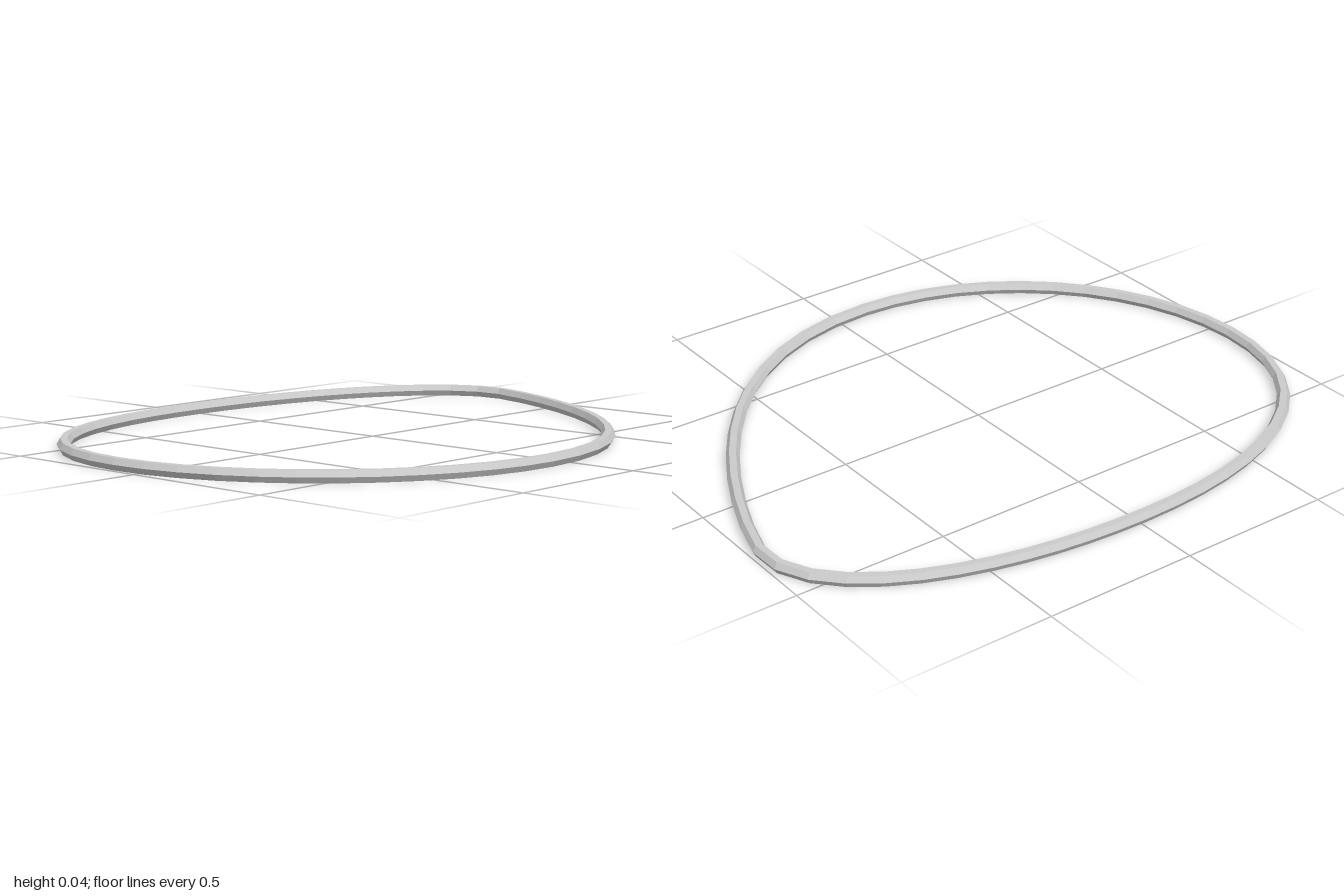
import * as THREE from 'three';

// Centre line as four smooth arcs: start, two handles, end, each [x, z]
const LEFT = [-0.979, -0.09];
const BACK = [-0.02, -0.78];
const TIP = [0.975, -0.27];
const FRONT = [-0.1, 0.777];
const ARCS = [
  [LEFT, [-0.979, -0.51], [-0.64, -0.78], BACK],
  [BACK, [0.61, -0.78], [1.03, -0.535], TIP],
  [TIP, [0.946, -0.125], [0.64, 0.777], FRONT],
  [FRONT, [-0.58, 0.777], [-0.979, 0.37], LEFT],
];
const STEPS = 12;
const SIDES = 6;
const RADIUS = 0.021;
const HEIGHT = RADIUS * Math.sin(Math.PI / 3);

// Sweeps a hexagon with flat top and bottom along the closed outline
function sweepRing() {
  const positions = [];
  const indices = [];
  const up = new THREE.Vector3(0, 1, 0);
  const rings = ARCS.length * STEPS;
  ARCS.forEach((arc, s) => {
    const curve = new THREE.CubicBezierCurve3(
      ...arc.map(([x, z]) => new THREE.Vector3(x, HEIGHT, z)));
    for (let i = 0; i < STEPS; i++) {
      const centre = curve.getPointAt(i / STEPS);
      const outward = curve.getTangentAt(i / STEPS).cross(up).negate().normalize();
      const ring = s * STEPS + i;
      const next = ((ring + 1) % rings) * SIDES;
      for (let j = 0; j < SIDES; j++) {
        const a = (j / SIDES) * Math.PI * 2;
        const p = centre.clone()
          .addScaledVector(outward, Math.cos(a) * RADIUS)
          .addScaledVector(up, Math.sin(a) * RADIUS);
        positions.push(p.x, p.y, p.z);

        const k = (j + 1) % SIDES;
        const [p0, p1, p2, p3] = [ring * SIDES + j, ring * SIDES + k, next + k, next + j];
        indices.push(p0, p1, p2, p0, p2, p3);
      }
    }
  });
  const geometry = new THREE.BufferGeometry();
  geometry.setAttribute('position', new THREE.Float32BufferAttribute(positions, 3));
  geometry.setIndex(indices);
  geometry.computeVertexNormals();
  return geometry;
}

export function createModel() {
  const group = new THREE.Group();
  group.name = 'roundedRing';

  // Closed loop resting on the floor
  const material = new THREE.MeshStandardMaterial({ color: 0xcccccc, flatShading: true });
  const ring = new THREE.Mesh(sweepRing(), material);
  ring.name = 'ring';
  group.add(ring);
  return group;
}
